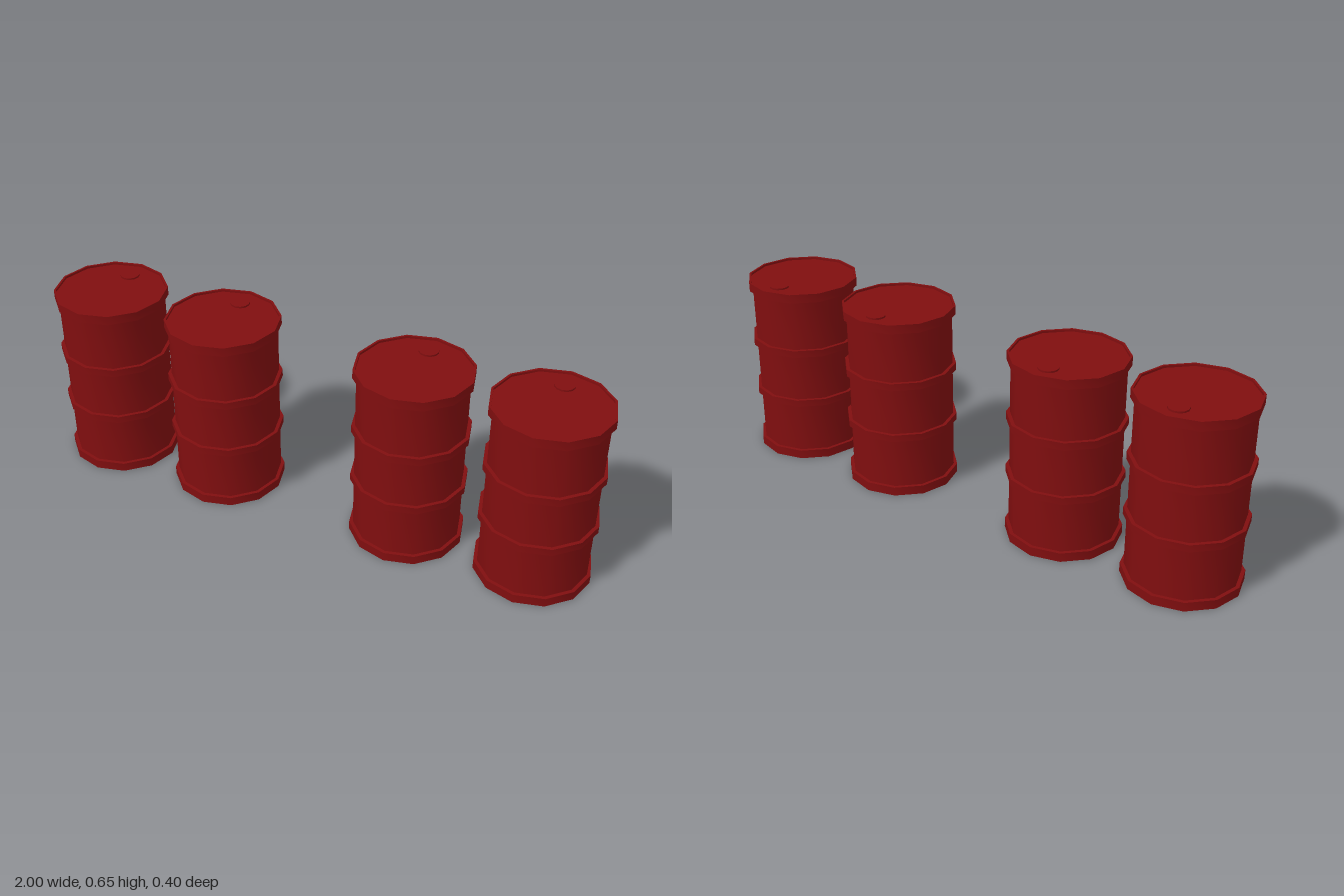
import * as THREE from 'three';
import { toCreasedNormals } from 'three/addons/utils/BufferGeometryUtils.js';

export function createModel() {
  const model = new THREE.Group();
  model.name = 'barrels';
  const red = new THREE.MeshStandardMaterial({ color: 0x800e0f });
  red.name = 'dark red';

  const SIDES = 12, BODY = 0.186, RING = 0.1985, TOP = 0.655, LID = 0.647;

  // Drum wall: raised rings at the foot, two ribs and the top rim, with a shallow recess for the lid
  const profile = [[0, 0], [RING, 0], [RING, 0.032], [BODY, 0.032]];
  for (const [y0, y1] of [[0.216, 0.241], [0.413, 0.439]]) {
    profile.push([BODY, y0], [RING, y0], [RING, y1], [BODY, y1]);
  }
  profile.push([BODY, 0.623], [RING, 0.623], [RING, TOP], [0.191, TOP], [0.191, LID], [0, LID]);
  const drumGeo = toCreasedNormals(
    new THREE.LatheGeometry(profile.map(([r, y]) => new THREE.Vector2(r, y)), SIDES), 0.7);

  // Small round filler cap
  const capGeo = toCreasedNormals(new THREE.CylinderGeometry(0.034, 0.034, 0.006, SIDES), 0.7);

  for (const x of [-0.8015, -0.351, 0.348, 0.8015]) {
    const barrel = new THREE.Group();
    barrel.name = 'barrel';
    const drum = new THREE.Mesh(drumGeo, red);
    drum.name = 'drum';
    const cap = new THREE.Mesh(capGeo, red);
    cap.name = 'fillerCap';
    cap.position.set(0, LID + 0.003, -0.12);
    barrel.add(drum, cap);
    barrel.position.x = x;
    model.add(barrel);
  }
  return model;
}
